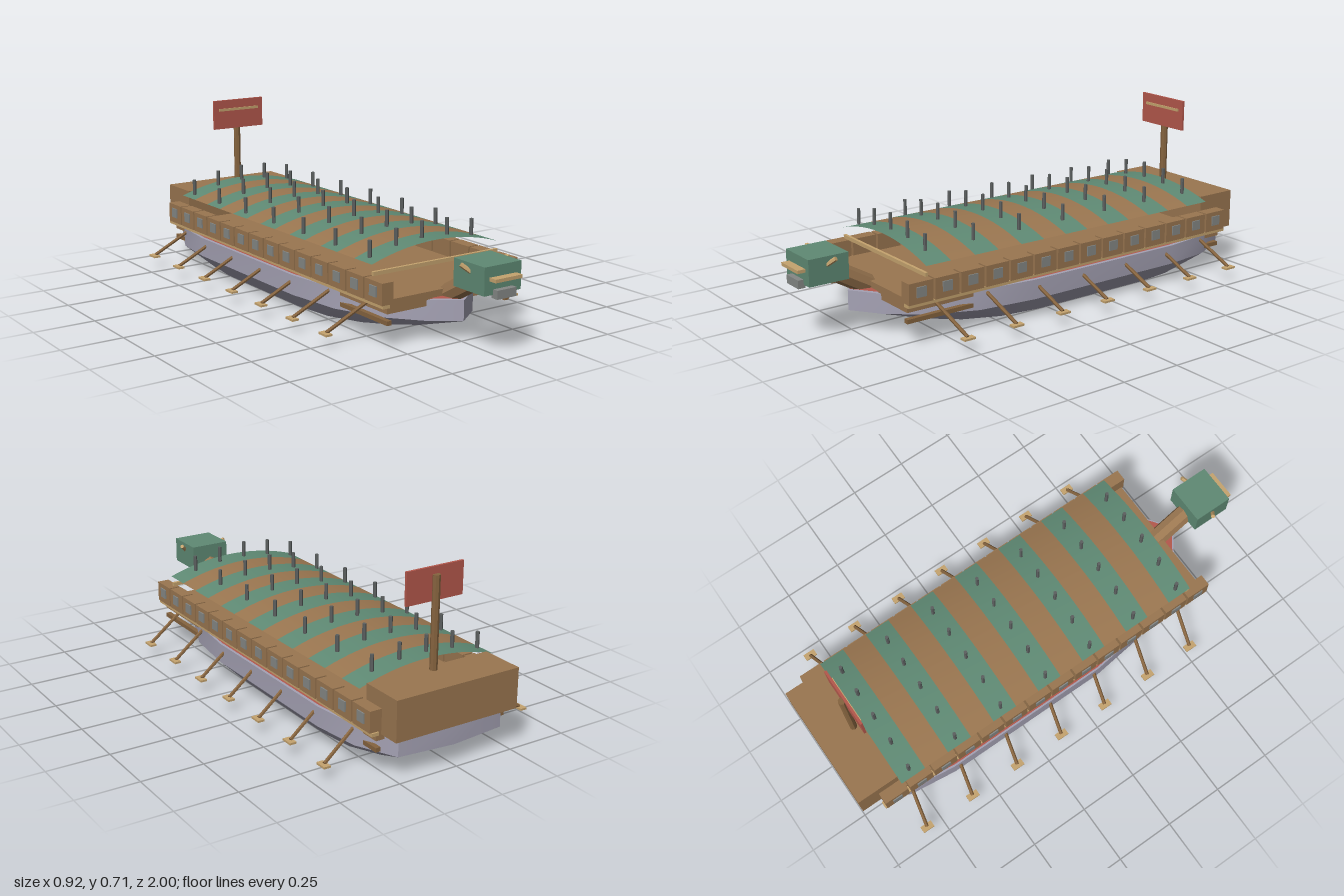
import * as THREE from 'three';
import { toCreasedNormals } from 'three/addons/utils/BufferGeometryUtils.js';

const mat = (name, color, side = THREE.FrontSide) => {
  const m = new THREE.MeshStandardMaterial({ color, side });
  m.name = name;
  return m;
};

export function createModel() {
  const wood = mat('wood', 0x9a7650, THREE.DoubleSide);
  const darkWood = mat('dark wood', 0x86643f);
  const tan = mat('pale wood', 0xc6a46f);
  const green = mat('green paint', 0x5f8a74, THREE.DoubleSide);
  const red = mat('red paint', 0xb4584c, THREE.DoubleSide);
  const hullGrey = mat('hull grey', 0xa5a2b4);
  const iron = mat('iron', 0x5c6060);
  const steel = mat('steel grey', 0x858886);

  const ship = new THREE.Group();
  ship.name = 'ship';
  const add = (name, geometry, material, parent = ship) => {
    const m = new THREE.Mesh(geometry, material);
    m.name = name;
    parent.add(m);
    return m;
  };
  // Box given by its extents on each axis
  const box = (name, material, [x0, x1], [y0, y1], [z0, z1], parent) => {
    const m = add(name, new THREE.BoxGeometry(x1 - x0, y1 - y0, z1 - z0), material, parent);
    m.position.set((x0 + x1) / 2, (y0 + y1) / 2, (z0 + z1) / 2);
    return m;
  };
  // Round bar between two points
  const bar = (name, material, from, to, r, sides = 6, parent) => {
    const a = new THREE.Vector3(...from), b = new THREE.Vector3(...to);
    const d = b.clone().sub(a);
    const g = toCreasedNormals(new THREE.CylinderGeometry(r, r, d.length(), sides), 0.5);
    const m = add(name, g, material, parent);
    m.position.copy(a).add(b).multiplyScalar(0.5);
    m.quaternion.setFromUnitVectors(new THREE.Vector3(0, 1, 0), d.normalize());
    return m;
  };

  // Hull: pointed bow, blunt stern, tapered underside
  const half = [[0, 0.76], [0.11, 0.68], [0.22, 0.55], [0.3, 0.36], [0.33, 0.12],
    [0.33, -0.6], [0.305, -0.8], [0.23, -0.96], [0, -0.984]];
  const outline = [...half, ...half.slice(1, -1).reverse().map(([x, z]) => [-x, z])];
  const ring = (y, sx, sz, zc) => outline.map(([x, z]) => [x * sx, y, zc + (z + 0.112) * sz]);
  const rings = [ring(0, 0.76, 0.75, -0.145), ring(0.08, 1, 1, -0.112), ring(0.16, 1, 1, -0.112)];
  const tris = [];
  const n = outline.length;
  for (let i = 0; i < n; i++) {
    const j = (i + 1) % n;
    for (let k = 0; k < 2; k++) {
      const lo = rings[k], hi = rings[k + 1];
      tris.push(lo[i], lo[j], hi[j], lo[i], hi[j], hi[i]);
    }
    tris.push([0, 0, -0.145], rings[0][j], rings[0][i]);
    tris.push([0, 0.16, -0.112], rings[2][i], rings[2][j]);
  }
  const hullGeo = new THREE.BufferGeometry();
  hullGeo.setAttribute('position', new THREE.Float32BufferAttribute(tris.flat(), 3));
  add('hull', toCreasedNormals(hullGeo, 0.6), hullGrey);

  // Red deck plate following the hull outline
  const deckShape = new THREE.Shape(outline.map(([x, z]) => new THREE.Vector2(x * 0.98, -z * 0.99)));
  const plate = add('deckPlate', new THREE.ShapeGeometry(deckShape), red);
  plate.rotation.x = -Math.PI / 2;
  plate.position.y = 0.164;

  // Fighting deck and stern cabin
  box('deck', wood, [-0.29, 0.29], [0.137, 0.19], [-0.91, 0.68]);
  box('sternCabin', wood, [-0.27, 0.27], [0.16, 0.32], [-1, -0.82]);
  box('frontBeam', tan, [-0.295, 0.295], [0.262, 0.277], [0.59, 0.602]);

  // Sides: rails, gun ports and oars
  for (const s of [-1, 1]) {
    const side = new THREE.Group();
    side.name = s > 0 ? 'leftSide' : 'rightSide';
    ship.add(side);
    const xs = (a, b) => (s > 0 ? [a, b] : [-b, -a]);
    box('rail', tan, xs(0.285, 0.315), [0.162, 0.175], [-0.92, 0.69], side);
    box('lowerBeam', darkWood, xs(0.27, 0.29), [0.093, 0.11], [-0.91, 0.68], side);
    for (let i = 0; i < 14; i++) {
      const z = 0.637 - i * 0.1152;
      box('gunPort', wood, xs(0.27, 0.32), [0.175, 0.258], [z - 0.053, z + 0.053], side);
      box('portHatch', steel, xs(0.318, 0.325), [0.2, 0.24], [z - 0.021, z + 0.021], side);
    }
    for (let i = 0; i < 7; i++) {
      const z = 0.52 - i * 0.2233;
      bar('oar', darkWood, [s * 0.285, 0.155, z + 0.035], [s * 0.445, 0.055, z], 0.0075, 6, side);
      box('oarBlade', tan, xs(0.434, 0.462), [0.047, 0.055], [z - 0.025, z + 0.025], side);
    }
  }

  // Arched roof in alternating bands
  const roofY = (x) => 0.355 - (0.925 - Math.sqrt(0.925 ** 2 - x * x));
  const bands = 13, bandLength = 1.42 / bands;
  for (let i = 0; i < bands; i++) {
    const g = new THREE.PlaneGeometry(0.6, bandLength, 16, 1).rotateX(-Math.PI / 2);
    const p = g.attributes.position;
    for (let v = 0; v < p.count; v++) p.setY(v, roofY(p.getX(v)));
    g.computeVertexNormals();
    const band = add('roofBand', g, i % 2 ? wood : green);
    band.position.z = 0.6 - (i + 0.5) * bandLength;
  }

  // Roof spikes
  for (let r = 0; r < 7; r++) {
    for (let c = 0; c < 5; c++) {
      const x = -0.27 + c * 0.12, z = 0.545 - r * 2 * bandLength, y = roofY(x);
      bar('roofSpike', iron, [x, y, z], [x, y + 0.066, z], 0.0078);
    }
  }

  // Figurehead
  bar('neck', wood, [0, 0.165, 0.67], [0, 0.275, 0.86], 0.04, 8);
  box('head', green, [-0.085, 0.085], [0.238, 0.343], [0.8, 0.967]);
  box('snout', tan, [-0.062, 0.062], [0.29, 0.303], [0.96, 1]);
  box('jaw', steel, [-0.044, 0.044], [0.225, 0.258], [0.96, 0.99]);
  for (const s of [-1, 1]) bar('horn', tan, [s * 0.075, 0.305, 0.89], [s * 0.108, 0.335, 0.865], 0.009);

  // Mast and banner
  bar('mast', darkWood, [0, 0.19, -0.85], [0, 0.68, -0.85], 0.015, 8);
  box('banner', red, [-0.125, 0.125], [0.58, 0.708], [-0.844, -0.834]);
  box('bannerBar', tan, [-0.1, 0.1], [0.66, 0.671], [-0.836, -0.829]);

  return ship;
}
